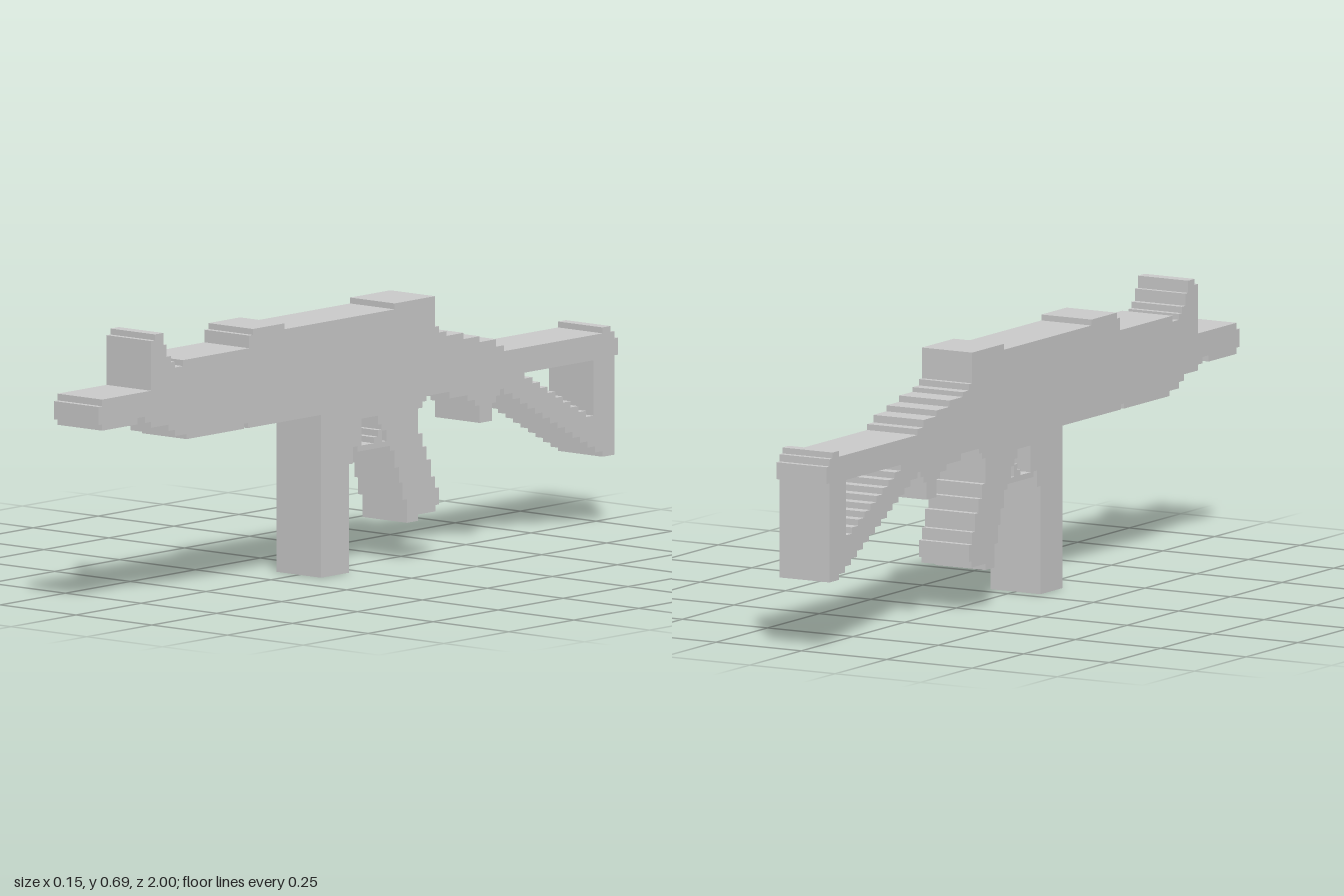
import * as THREE from 'three';

const WIDTH = 0.147;
const material = new THREE.MeshStandardMaterial({ color: 0xcccccc, flatShading: true });

// Turn [start, level] steps, closed off at `end`, into a staircase of corners
function stairs(steps, end) {
  const pts = [];
  steps.forEach(([s, level], i) => {
    const next = i + 1 < steps.length ? steps[i + 1][0] : end;
    pts.push([s, level], [next, level]);
  });
  return pts;
}

// Even flight of steps from (z0, y0), each going back by dz and down by dy
function flight(z0, y0, count, dz, dy) {
  return Array.from({ length: count }, (_, i) => [z0 - i * dz, y0 - i * dy]);
}

const outline = (upper, lower, end) => [...stairs(upper, end), ...stairs(lower, end).reverse()];
const swap = (pts) => pts.map(([a, b]) => [b, a]);

// Extrude a (z, y) outline across the full width of the model
function slab(name, points, holes = []) {
  const toVec = (pts) => pts.map(([z, y]) => new THREE.Vector2(z, y));
  const shape = new THREE.Shape(toVec(points));
  holes.forEach((h) => shape.holes.push(new THREE.Path(toVec(h))));
  const geometry = new THREE.ExtrudeGeometry(shape, { depth: WIDTH, bevelEnabled: false });
  geometry.translate(0, 0, -WIDTH / 2);
  geometry.rotateY(-Math.PI / 2);
  const mesh = new THREE.Mesh(geometry, material);
  mesh.name = name;
  return mesh;
}

export function createModel() {
  const model = new THREE.Group();
  model.name = 'steppedGun';

  // Barrel
  model.add(slab('barrel', outline(
    [[1, 0.535], [0.985, 0.552]],
    [[1, 0.489], [0.985, 0.473], [0.85, 0.489], [0.82, 0.473]],
    0.797)));

  // Receiver with front sight, raised rails, sloping rear and latch underneath
  model.add(slab('receiver', outline(
    [[0.797, 0.678], [0.782, 0.693], [0.75, 0.662], [0.737, 0.631], [0.72, 0.615],
      [0.705, 0.6], [0.674, 0.615], [0.42, 0.647], [0.405, 0.662], [0.283, 0.647],
      [-0.14, 0.662], [-0.295, 0.584], [-0.31, 0.568], [-0.34, 0.556], [-0.405, 0.54],
      [-0.467, 0.525], [-0.53, 0.506]],
    [[0.797, 0.458], [0.73, 0.442], [0.705, 0.426], [0.66, 0.413], [0.44, 0.426],
      [0.425, 0.413], [-0.35, 0.396], [-0.42, 0.381], [-0.45, 0.365], [-0.467, 0.32],
      [-0.515, 0.365], [-0.53, 0.381], [-0.545, 0.396]],
    -0.56)));

  // Magazine
  model.add(slab('magazine', swap(outline(
    [[0, 0.143], [0.275, 0.143]],
    [[0, 0.036], [0.275, 0.02]],
    0.413))));

  // Trigger guard; the opening leaves a small hooked trigger
  const opening = [[-0.012, 0.317], [-0.06, 0.317], [-0.06, 0.332], [-0.076, 0.332],
    [-0.076, 0.348], [-0.09, 0.348], [-0.09, 0.362], [-0.076, 0.362], [-0.076, 0.385],
    [-0.012, 0.385]];
  const rearGap = [[-0.092, 0.317], [-0.108, 0.317], [-0.108, 0.345], [-0.092, 0.345]];
  model.add(slab('triggerGuard',
    outline([[0.02, 0.413]], [[0.02, 0.317], [0.003, 0.303]], -0.123),
    [opening, rearGap]));

  // Pistol grip, described by its front and back edges from bottom to top
  model.add(slab('grip', swap(outline(
    [[0.1, -0.187], [0.16, -0.17], [0.205, -0.157], [0.245, -0.14], [0.29, -0.123]],
    [[0.1, -0.23], [0.116, -0.297], [0.132, -0.31], [0.175, -0.295], [0.205, -0.28],
      [0.25, -0.263], [0.285, -0.247], [0.32, -0.23], [0.385, -0.247], [0.4, -0.262]],
    0.413))));

  // Skeleton stock with stepped strut and butt plate
  const strutTop = flight(-0.64, 0.412, 9, 0.0295, 0.0157);
  const window = [[-0.64, 0.427], ...stairs(strutTop, -0.905), [-0.905, 0.427]];
  model.add(slab('stock', outline(
    [[-0.56, 0.491], [-0.94, 0.506], [-0.97, 0.491], [-0.985, 0.473]],
    [[-0.56, 0.381], ...flight(-0.593, 0.365, 12, 0.0288, 0.0157), [-0.94, 0.178], [-0.985, 0.43]],
    -1), [window]));

  return model;
}
